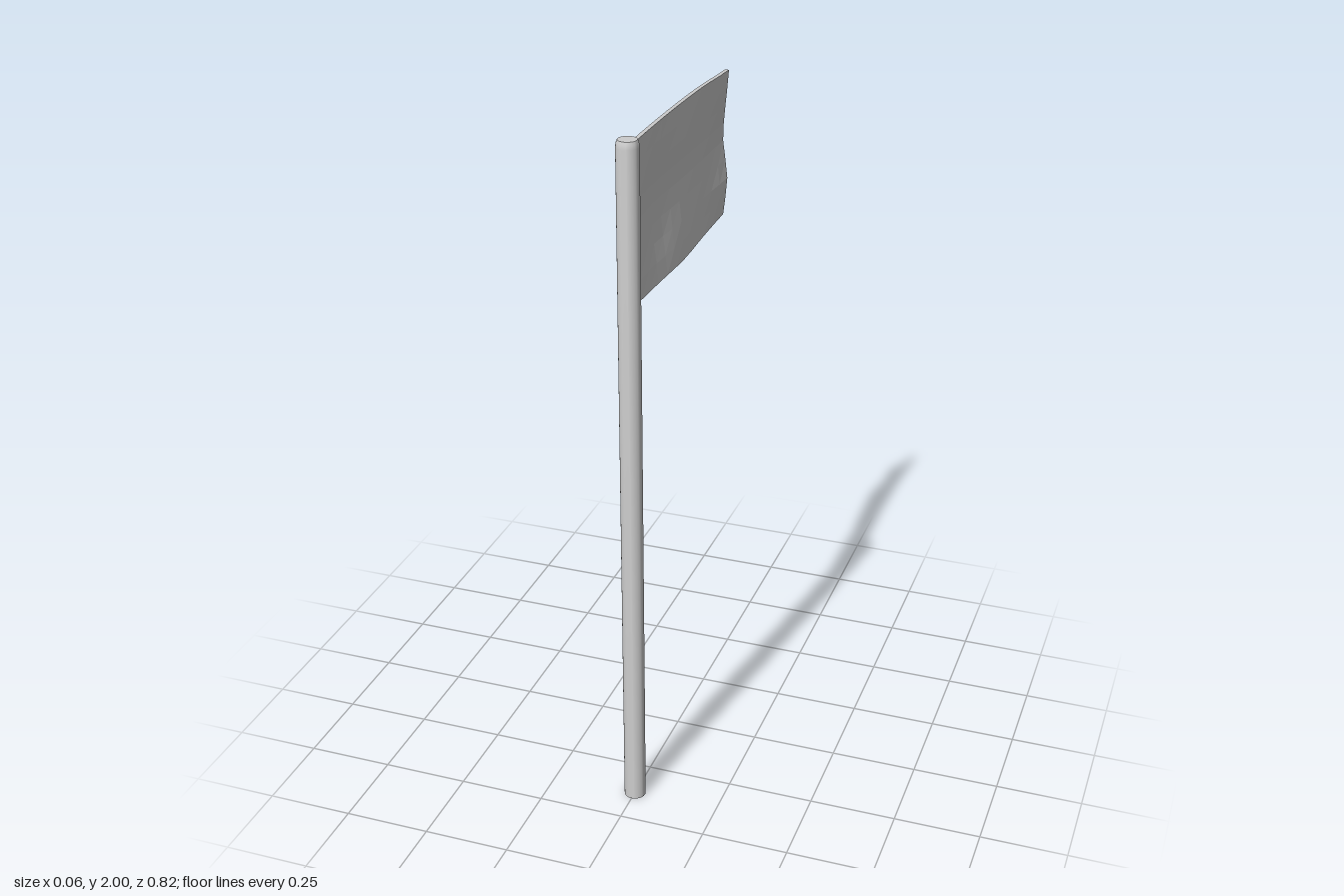
import * as THREE from 'three';
import { toCreasedNormals } from 'three/addons/utils/BufferGeometryUtils.js';

const POLE_Z = 0.38, POLE_R = 0.031;
const FLAG_TOP = 1.975, FLAG_BOTTOM = 1.535, FLAG_START = 0.36, FLAG_THICK = 0.012;

// Sideways sway of the cloth: rows run top to bottom, columns pole to free end
const SWAY = [
  [-0.008, -0.009, -0.007, 0.0, 0.016],
  [-0.008, -0.015, -0.011, -0.006, 0.003],
  [-0.008, -0.021, -0.015, -0.011, -0.011],
  [-0.006, -0.014, -0.003, -0.004, 0.005],
  [-0.005, 0.0, 0.007, 0.0, -0.004],
];
// z of the free end for each row
const FREE_END = [-0.372, -0.383, -0.409, -0.403, -0.395];

// Smooth value at t (0..1) along evenly spaced keys
function sample(keys, t) {
  const p = t * (keys.length - 1);
  const i = Math.min(Math.floor(p), keys.length - 2);
  const f = p - i;
  const a = keys[Math.max(i - 1, 0)], b = keys[i], c = keys[i + 1];
  const d = keys[Math.min(i + 2, keys.length - 1)];
  return b + 0.5 * f * (c - a + f * (2 * a - 5 * b + 4 * c - d + f * (3 * (b - c) + d - a)));
}

// Round pole with a softened top edge
function createPole() {
  const profile = [
    [0, 0], [POLE_R, 0], [POLE_R, 1.98], [0.0295, 1.992], [0.026, 2], [0, 2],
  ].map(([r, y]) => new THREE.Vector2(r, y));
  const geometry = toCreasedNormals(new THREE.LatheGeometry(profile, 24), 0.7);
  const pole = new THREE.Mesh(geometry, new THREE.MeshStandardMaterial({ color: 0xcccccc }));
  pole.name = 'pole';
  pole.position.z = POLE_Z;
  return pole;
}

// Thin slab bent into a rippling cloth
function createFlag() {
  const geometry = new THREE.BoxGeometry(1, 1, 1, 1, 8, 12);
  const pos = geometry.attributes.position;
  for (let i = 0; i < pos.count; i++) {
    const down = 0.5 - pos.getY(i);
    const along = 0.5 - pos.getZ(i);
    const sway = sample(SWAY.map((row) => sample(row, along)), down);
    pos.setXYZ(
      i,
      sway + pos.getX(i) * FLAG_THICK,
      THREE.MathUtils.lerp(FLAG_TOP, FLAG_BOTTOM, down),
      THREE.MathUtils.lerp(FLAG_START, sample(FREE_END, down), along),
    );
  }
  geometry.computeVertexNormals();
  const flag = new THREE.Mesh(
    geometry,
    new THREE.MeshStandardMaterial({ color: 0xcccccc, flatShading: true }),
  );
  flag.name = 'flag';
  return flag;
}

export function createModel() {
  const model = new THREE.Group();
  model.name = 'flagpole';
  model.add(createPole(), createFlag());
  return model;
}
